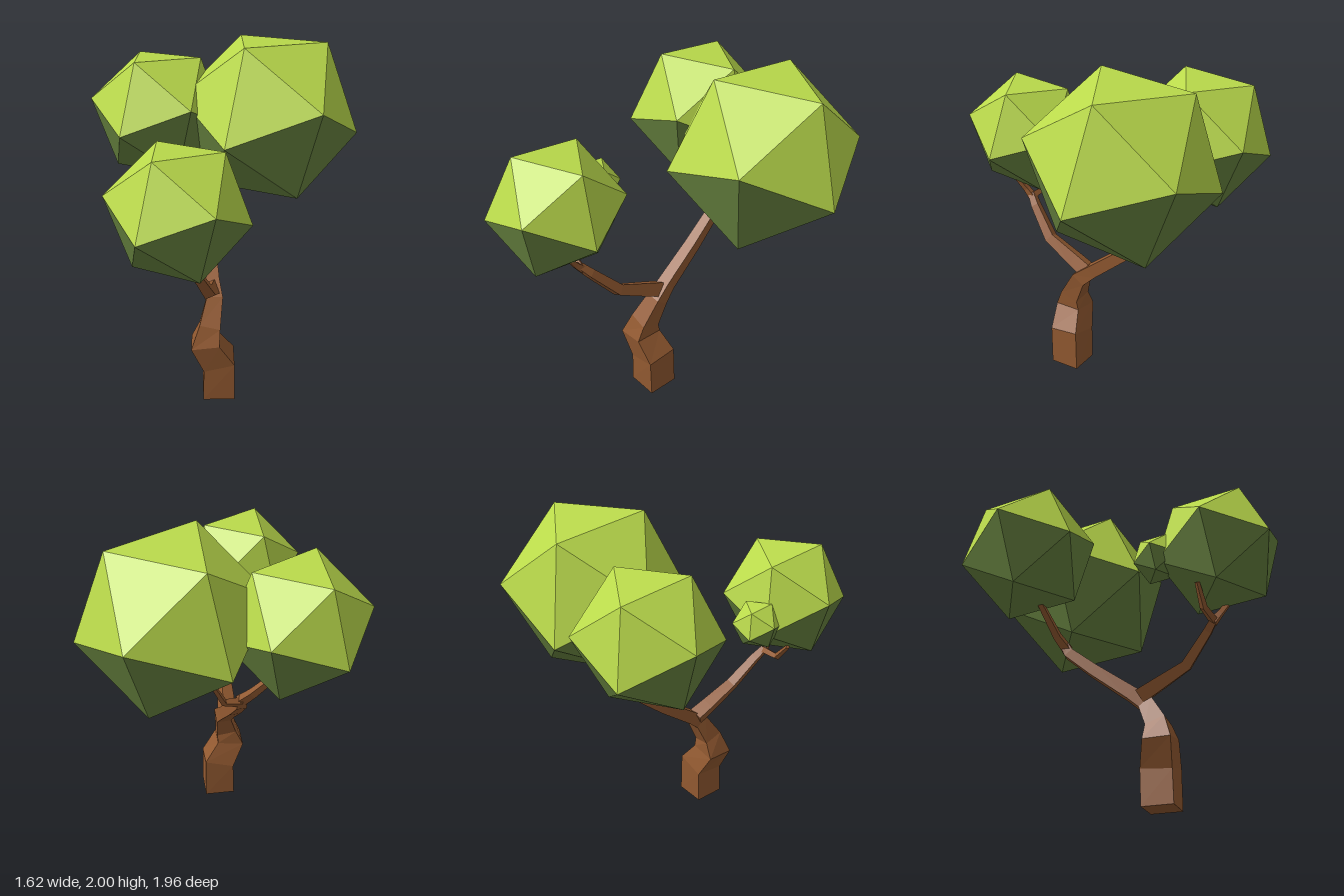
import * as THREE from 'three';

const bark = new THREE.MeshStandardMaterial({ color: 0x935a31, flatShading: true });
bark.name = 'bark brown';
const leafLight = new THREE.MeshStandardMaterial({ color: 0xbada4b, flatShading: true });
leafLight.name = 'sunny leaf green';
const leafDark = new THREE.MeshStandardMaterial({ color: 0x6a8641, flatShading: true });
leafDark.name = 'shaded leaf green';

const vec = (a) => new THREE.Vector3(a[0], a[1], a[2]);

// Four-sided limb through points [x, y, z, radius], closed at both ends
function limb(name, points) {
  const P = points.map(vec);
  const n = P.length;
  const dir = (i) => P[i + 1].clone().sub(P[i]).normalize();
  const U = new THREE.Vector3(1, 0, 0);
  const rings = P.map((p, i) => {
    const T = new THREE.Vector3();
    if (i > 0) T.add(dir(i - 1));
    if (i < n - 1) T.add(dir(i));
    T.normalize();
    U.addScaledVector(T, -U.dot(T)).normalize();
    const V = T.clone().cross(U);
    return [0, 1, 2, 3].map((k) => p.clone()
      .addScaledVector(U, points[i][3] * Math.cos(k * Math.PI / 2))
      .addScaledVector(V, points[i][3] * Math.sin(k * Math.PI / 2)));
  });
  const tris = [];
  for (let i = 0; i < n - 1; i++) {
    for (let k = 0; k < 4; k++) {
      const a = rings[i], b = rings[i + 1], m = (k + 1) % 4;
      tris.push(a[k], a[m], b[m], a[k], b[m], b[k]);
    }
  }
  const s = rings[0], e = rings[n - 1];
  tris.push(s[0], s[2], s[1], s[0], s[3], s[2], e[0], e[1], e[2], e[0], e[2], e[3]);
  const geo = new THREE.BufferGeometry().setFromPoints(tris);
  geo.computeVertexNormals();
  const mesh = new THREE.Mesh(geo, bark);
  mesh.name = name;
  return mesh;
}

// Shared tilt of the leaf clumps, from two neighbouring corner directions
const cornerA = new THREE.Vector3(0.034, 0.32, 0.2).normalize();
const cornerB = new THREE.Vector3(0.144, 0.29, -0.18).normalize();
const axisY = cornerA.clone().add(cornerB).normalize();
const axisX = cornerB.clone().sub(cornerA).normalize();
const tilt = new THREE.Matrix4().makeBasis(axisX, axisY, axisX.clone().cross(axisY));

// Icosahedron clump: upward faces light, downward faces dark
function clump(name, x, y, z, r) {
  const geo = new THREE.IcosahedronGeometry(r, 0).applyMatrix4(tilt);
  const pos = geo.attributes.position;
  geo.clearGroups();
  for (let i = 0; i < pos.count; i += 3) {
    const up = pos.getY(i) + pos.getY(i + 1) + pos.getY(i + 2) > 0;
    geo.addGroup(i, 3, up ? 0 : 1);
  }
  geo.computeVertexNormals();
  const mesh = new THREE.Mesh(geo, [leafLight, leafDark]);
  mesh.name = name;
  mesh.position.set(x, y, z);
  return mesh;
}

export function createModel() {
  const tree = new THREE.Group();
  tree.name = 'tree';

  // Trunk running on into the rear branch
  tree.add(limb('trunk', [
    [0.3, 0, 0.14, 0.13], [0.3, 0.225, 0.14, 0.13], [0.262, 0.365, 0.215, 0.115],
    [0.268, 0.46, 0.185, 0.085], [0.235, 0.6, 0.115, 0.065], [0.17, 0.665, 0.065, 0.055],
    [0, 0.835, -0.08, 0.048], [-0.12, 0.965, -0.18, 0.043], [-0.14, 1.015, -0.195, 0.036],
  ]));
  tree.add(limb('rearLeftTwig', [
    [-0.125, 0.99, -0.19, 0.036], [-0.2, 1.06, -0.175, 0.03], [-0.37, 1.25, -0.09, 0.02],
  ]));
  tree.add(limb('rearRightTwig', [
    [-0.13, 0.99, -0.2, 0.03], [-0.095, 1.025, -0.3, 0.022], [-0.088, 1.16, -0.38, 0.015],
  ]));

  // Front branch and its twigs
  tree.add(limb('frontBranch', [
    [0.2, 0.645, 0.11, 0.06], [0.26, 0.69, 0.18, 0.055], [0.385, 0.785, 0.32, 0.043],
    [0.45, 0.95, 0.46, 0.034], [0.465, 1.01, 0.515, 0.028],
  ]));
  tree.add(limb('frontOuterTwig', [
    [0.46, 0.99, 0.505, 0.03], [0.495, 1.04, 0.53, 0.022], [0.57, 1.14, 0.55, 0.014],
  ]));
  tree.add(limb('frontInnerTwig', [
    [0.46, 1.0, 0.51, 0.026], [0.35, 1.02, 0.59, 0.022], [0.28, 1.13, 0.65, 0.014],
  ]));

  // Foliage
  tree.add(clump('rearFoliage', 0.11, 1.548, -0.466, 0.534));
  tree.add(clump('sideFoliage', -0.43, 1.53, -0.09, 0.41));
  tree.add(clump('frontFoliage', 0.456, 1.39, 0.612, 0.376));
  tree.add(clump('smallFoliage', 0.148, 1.343, 0.46, 0.148));
  return tree;
}
